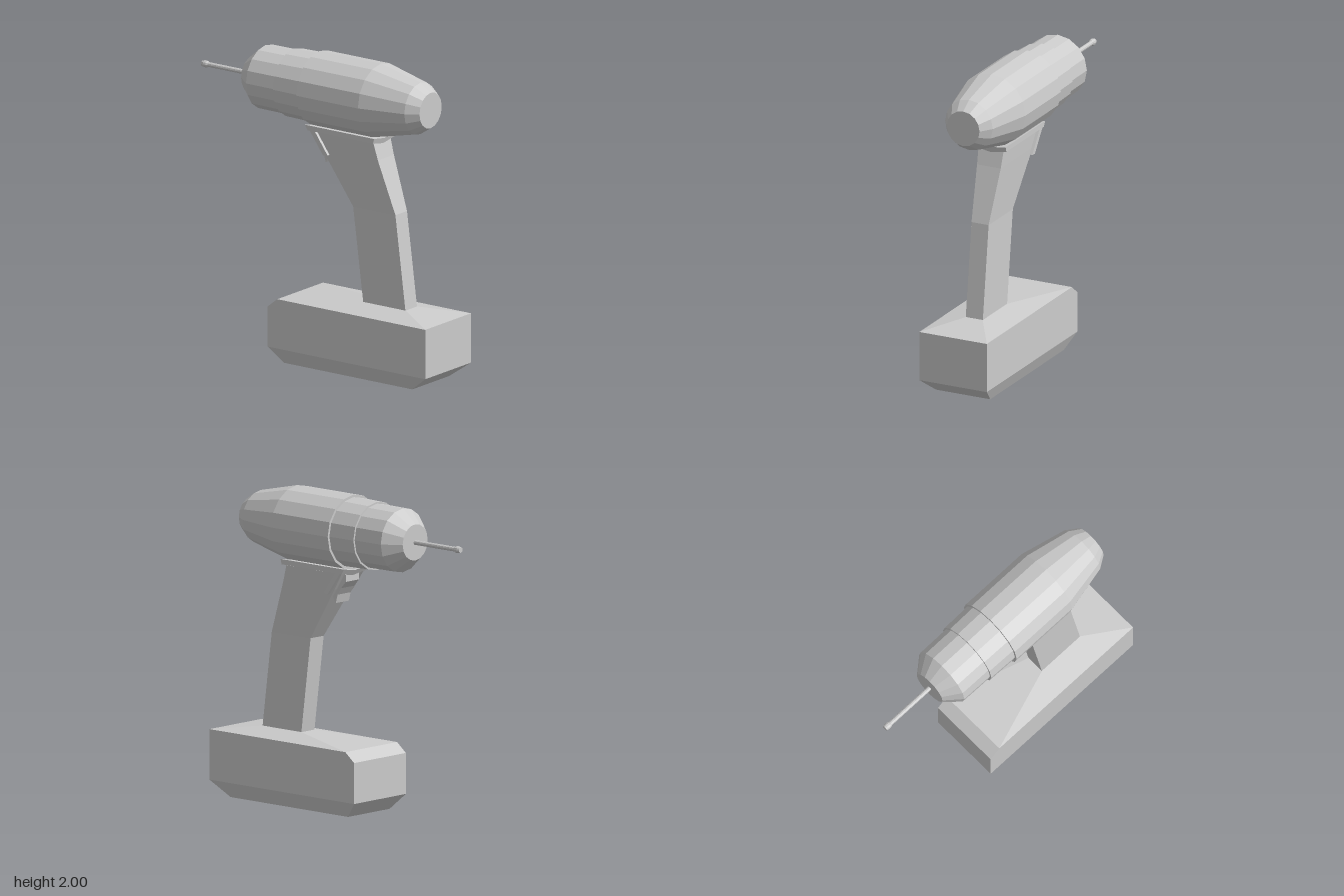
import * as THREE from 'three';

const grey = new THREE.MeshStandardMaterial({ color: 0xcccccc, flatShading: true, side: THREE.DoubleSide });
const AXIS_Y = 1.765;

function addMesh(group, name, geometry) {
  const mesh = new THREE.Mesh(geometry, grey);
  mesh.name = name;
  group.add(mesh);
  return mesh;
}

// Profile of [x, radius] points turned around the drill axis
function turned(profile, sides) {
  const geo = new THREE.LatheGeometry(profile.map(([x, r]) => new THREE.Vector2(r, x)), sides);
  return geo.rotateZ(-Math.PI / 2).translate(0, AXIS_Y, 0);
}

// Stack of rectangles [xFront, xBack, halfDepth, yFront, yBack], bottom to top, with end caps
function loft(sections) {
  const pos = [];
  const rings = sections.map(([x0, x1, d, y0, y1 = y0]) =>
    [[x0, y0, d], [x1, y1, d], [x1, y1, -d], [x0, y0, -d]]);
  const quad = (a, b, c, d) => pos.push(...a, ...b, ...c, ...a, ...c, ...d);
  for (let i = 0; i < rings.length - 1; i++) {
    for (let k = 0; k < 4; k++) {
      const n = (k + 1) % 4;
      quad(rings[i][k], rings[i][n], rings[i + 1][n], rings[i + 1][k]);
    }
  }
  const [a, b, c, d] = rings[0];
  quad(d, c, b, a);
  quad(...rings[rings.length - 1]);
  const geo = new THREE.BufferGeometry();
  geo.setAttribute('position', new THREE.Float32BufferAttribute(pos, 3));
  geo.computeVertexNormals();
  return geo;
}

// Flat outline extruded along z between z0 and z1
function slab(points, z0, z1) {
  const shape = new THREE.Shape(points.map(([x, y]) => new THREE.Vector2(x, y)));
  return new THREE.ExtrudeGeometry(shape, { depth: z1 - z0, bevelEnabled: false }).translate(0, 0, z0);
}

export function createModel() {
  const drill = new THREE.Group();
  drill.name = 'cordlessDrill';

  // Barrel: chuck, collar and motor housing
  addMesh(drill, 'chuck', turned([[-0.575, 0], [-0.575, 0.115], [-0.47, 0.203], [-0.25, 0.205], [-0.25, 0]], 16));
  addMesh(drill, 'collar', turned([[-0.25, 0], [-0.25, 0.217], [-0.05, 0.221], [-0.05, 0]], 16));
  addMesh(drill, 'motorHousing', turned(
    [[-0.05, 0], [-0.05, 0.237], [0.43, 0.237], [0.74, 0.167], [0.82, 0.115], [0.82, 0]], 16));

  // Screwdriver bit with a thicker tip
  addMesh(drill, 'bit', turned(
    [[-0.962, 0], [-0.962, 0.018], [-0.945, 0.022], [-0.925, 0.021], [-0.915, 0.015], [-0.57, 0.015]], 10));

  // Bent handle, wider at the top
  addMesh(drill, 'handle', loft([
    [0.34, 0.67, 0.06, 0.44],
    [0.26, 0.59, 0.06, 1.06],
    [0.035, 0.475, 0.083, 1.4, 1.42],
    [-0.03, 0.44, 0.088, 1.505],
  ].map((s, i) => (i === 2 ? [0.035, 0.47, 0.083, 1.4] : s))));

  // Battery with chamfered base, front bevel and gently sloped top
  addMesh(drill, 'battery', loft([
    [-0.18, 0.82, 0.19, 0],
    [-0.275, 0.957, 0.237, 0.1],
    [-0.275, 0.957, 0.237, 0.36, 0.36],
    [-0.2, 0.957, 0.237, 0.42],
    [0.34, 0.67, 0.06, 0.455],
  ]));

  // V-shaped cradle between handle and housing, with raked ends
  const section = [[-0.115, 1.545], [-0.115, 1.512], [0, 1.49], [0.115, 1.512], [0.115, 1.545], [0, 1.525]];
  const cradle = slab(section, -0.075, 0.465).rotateY(Math.PI / 2);
  const p = cradle.attributes.position;
  for (let i = 0; i < p.count; i++) {
    const drop = 1.545 - p.getY(i);
    p.setX(i, p.getX(i) + (p.getX(i) < 0 ? 0.6 : -0.3) * drop);
  }
  cradle.computeVertexNormals();
  addMesh(drill, 'cradle', cradle);

  // Trigger in front of the handle
  addMesh(drill, 'trigger', slab(
    [[-0.04, 1.5], [-0.04, 1.455], [0, 1.41], [0.03, 1.365], [0.045, 1.31], [0.075, 1.355], [0.05, 1.5]], -0.06, 0.06));

  // Slanted guard strips on both sides of the trigger
  const strip = [[-0.04, 1.515], [0.065, 1.37], [0.1, 1.375], [0.0, 1.515]];
  for (const [name, z] of [['leftGuard', 0.094], ['rightGuard', -0.114]]) {
    addMesh(drill, name, slab(strip, z, z + 0.02));
  }

  return drill;
}
